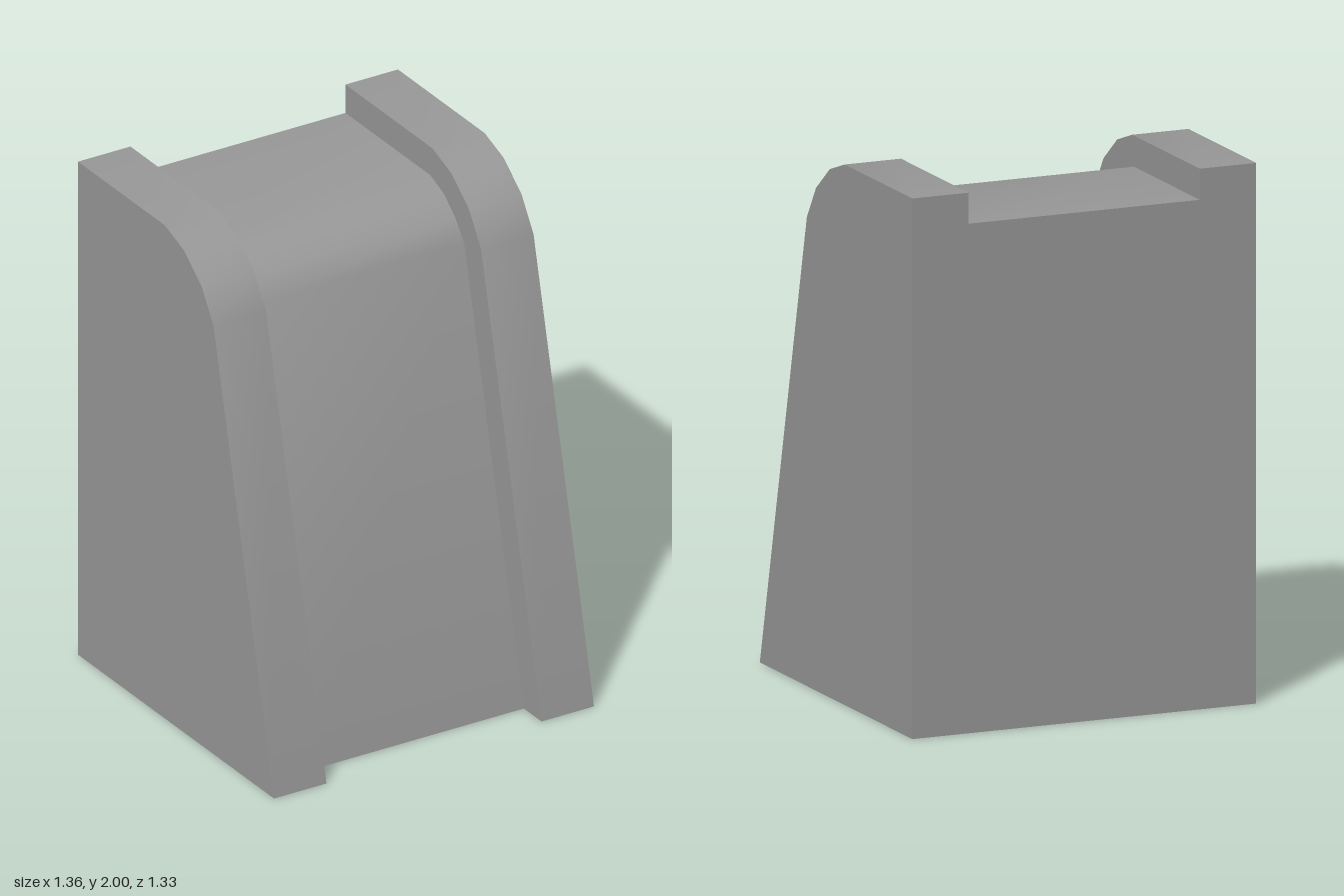
import * as THREE from 'three';
import { toCreasedNormals } from 'three/addons/utils/BufferGeometryUtils.js';

const HALF_WIDTH = 0.68;
const INNER = 0.457;
const BACK = -0.665;

// Side profiles as [z, y], from the front foot up over the rounded shoulder
const outerProfile = [[0.665, 0], [0.255, 1.735], [0.175, 1.86], [0.055, 1.955], [-0.075, 2], [BACK, 2]];
const innerProfile = [[0.545, 0], [0.141, 1.708], [0.082, 1.785], [0.003, 1.85], [-0.09, 1.885], [BACK, 1.885]];

// Extrudes a side profile across x, keeping the shoulder smooth and the edges sharp
function slab(name, profile, width, x, material) {
  const shape = new THREE.Shape([[BACK, 0], ...profile].map(([z, y]) => new THREE.Vector2(z, y)));
  const geometry = new THREE.ExtrudeGeometry(shape, { depth: width, bevelEnabled: false });
  geometry.translate(0, 0, -width / 2);
  geometry.rotateY(-Math.PI / 2);
  const mesh = new THREE.Mesh(toCreasedNormals(geometry, 0.6), material);
  mesh.name = name;
  mesh.position.x = x;
  return mesh;
}

export function createModel() {
  const group = new THREE.Group();
  group.name = 'slopedHousing';
  const grey = new THREE.MeshStandardMaterial({ color: 0x999999 });
  grey.name = 'grey';

  // Recessed body between the two raised cheeks
  group.add(slab('recessedBody', innerProfile, INNER * 2, 0, grey));

  // Raised cheeks on both sides
  const cheekWidth = HALF_WIDTH - INNER;
  const cheekX = (HALF_WIDTH + INNER) / 2;
  for (const [name, side] of [['leftCheek', 1], ['rightCheek', -1]]) {
    group.add(slab(name, outerProfile, cheekWidth, side * cheekX, grey));
  }
  return group;
}
